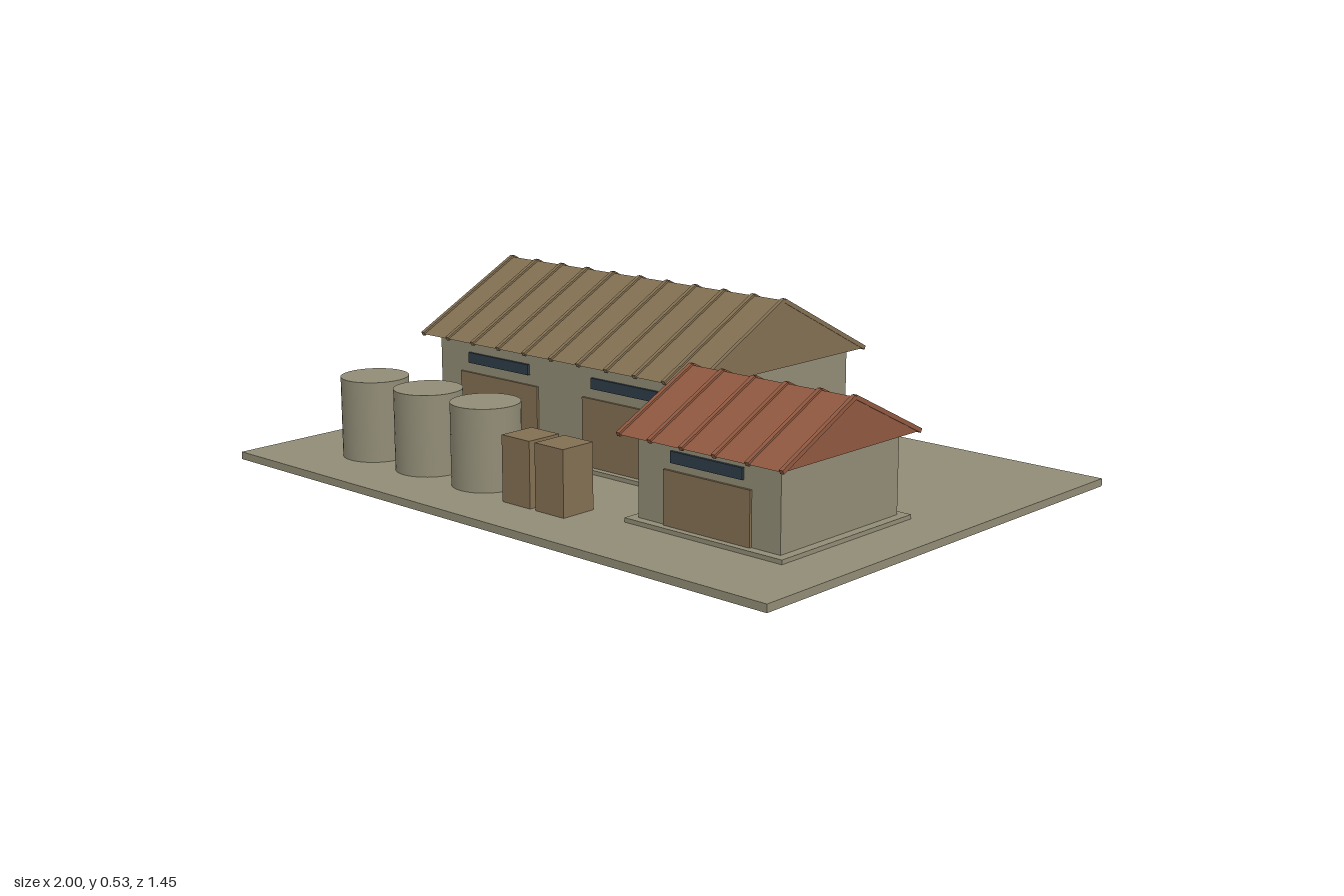
import * as THREE from 'three';

const mat = (name, color) => {
  const m = new THREE.MeshStandardMaterial({ color });
  m.name = name;
  return m;
};

export function createModel() {
  const concrete = mat('concrete', 0x918c76);
  const timber = mat('timber', 0x826f52);
  const clay = mat('clay', 0x8f5840);
  const glass = mat('glass', 0x2f3c47);

  const model = new THREE.Group();
  model.name = 'farmyard';

  const add = (parent, name, geometry, material, x = 0, y = 0, z = 0) => {
    const mesh = new THREE.Mesh(geometry, material);
    mesh.name = name;
    mesh.position.set(x, y, z);
    parent.add(mesh);
    return mesh;
  };

  // Box given by its low and high limits on each axis
  const box = (parent, name, material, [x0, x1], [y0, y1], [z0, z1]) =>
    add(parent, name, new THREE.BoxGeometry(x1 - x0, y1 - y0, z1 - z0), material,
      (x0 + x1) / 2, (y0 + y1) / 2, (z0 + z1) / 2);

  // Solid gable roof with seams running down both slopes
  const gableRoof = (parent, material, { x, z, eave, ridge, seams }) => {
    const roof = new THREE.Group();
    roof.name = 'roof';
    parent.add(roof);
    const half = (z[1] - z[0]) / 2, zMid = (z[0] + z[1]) / 2;
    const rise = ridge - eave, length = x[1] - x[0];
    const profile = new THREE.Shape();
    profile.moveTo(-half, 0);
    profile.lineTo(half, 0);
    profile.lineTo(0, rise);
    profile.closePath();
    const prism = new THREE.ExtrudeGeometry(profile, { depth: length, bevelEnabled: false });
    prism.rotateY(Math.PI / 2);
    add(roof, 'gable', prism, material, x[0], eave, zMid);

    const slope = Math.hypot(half, rise), angle = Math.atan2(rise, half);
    const seam = new THREE.BoxGeometry(0.012, 0.012, slope);
    for (let i = 0; i < seams; i++) {
      const sx = x[0] + 0.004 + (length - 0.008) * i / (seams - 1);
      for (const side of [-1, 1]) {
        const rib = add(roof, 'seam', seam, material, sx, eave + rise / 2, zMid + side * half / 2);
        rib.rotation.x = side * angle;
      }
    }
  };

  // Walls on a plinth, front doors with strip windows above, small rear windows
  const building = (name, o) => {
    const g = new THREE.Group();
    g.name = name;
    model.add(g);
    const [x0, x1] = o.x, [z0, z1] = o.z;
    box(g, 'plinth', concrete, [x0 - 0.026, x1 + 0.026], [0.02, 0.034], [z0 - 0.026, z1 + 0.026]);
    box(g, 'walls', concrete, o.x, [0.02, o.roof.eave], o.z);
    for (const c of o.doors) {
      box(g, 'door', timber, [c - o.doorWidth / 2, c + o.doorWidth / 2], [0.034, o.doorTop], [z1 - 0.001, z1 + 0.007]);
      box(g, 'frontWindow', glass, [c - o.windowWidth / 2, c + o.windowWidth / 2], o.windowY, [z1 - 0.001, z1 + 0.008]);
    }
    for (const c of o.rearWindows)
      box(g, 'rearWindow', glass, [c - 0.055, c + 0.055], o.rearY, [z0 - 0.008, z0 + 0.001]);
    gableRoof(g, o.roofMaterial, o.roof);
  };

  // Ground slab
  box(model, 'yard', concrete, [-1, 1], [0, 0.022], [-0.727, 0.727]);

  building('mainHall', {
    x: [-0.73, 0.29], z: [-0.475, 0.182],
    doors: [-0.475, 0.032], doorWidth: 0.325, doorTop: 0.233,
    windowWidth: 0.253, windowY: [0.262, 0.293],
    rearWindows: [-0.617, -0.398, -0.18, 0.039], rearY: [0.243, 0.29],
    roofMaterial: timber,
    roof: { x: [-0.77, 0.325], z: [-0.515, 0.222], eave: 0.331, ridge: 0.52, seams: 11 },
  });

  building('annex', {
    x: [0.34, 0.815], z: [-0.02, 0.455],
    doors: [0.577], doorWidth: 0.29, doorTop: 0.182,
    windowWidth: 0.24, windowY: [0.203, 0.234],
    rearWindows: [0.39, 0.53, 0.67], rearY: [0.185, 0.233],
    roofMaterial: clay,
    roof: { x: [0.305, 0.853], z: [-0.062, 0.497], eave: 0.258, ridge: 0.395, seams: 6 },
  });

  // Storage tanks
  const tank = new THREE.CylinderGeometry(0.098, 0.098, 0.236, 40);
  for (const x of [-0.692, -0.458, -0.22]) add(model, 'tank', tank, concrete, x, 0.138, 0.472);

  // Upright crates
  for (const x of [-0.003, 0.123])
    box(model, 'crate', timber, [x - 0.053, x + 0.053], [0.02, 0.207], [0.455, 0.565]);

  return model;
}
